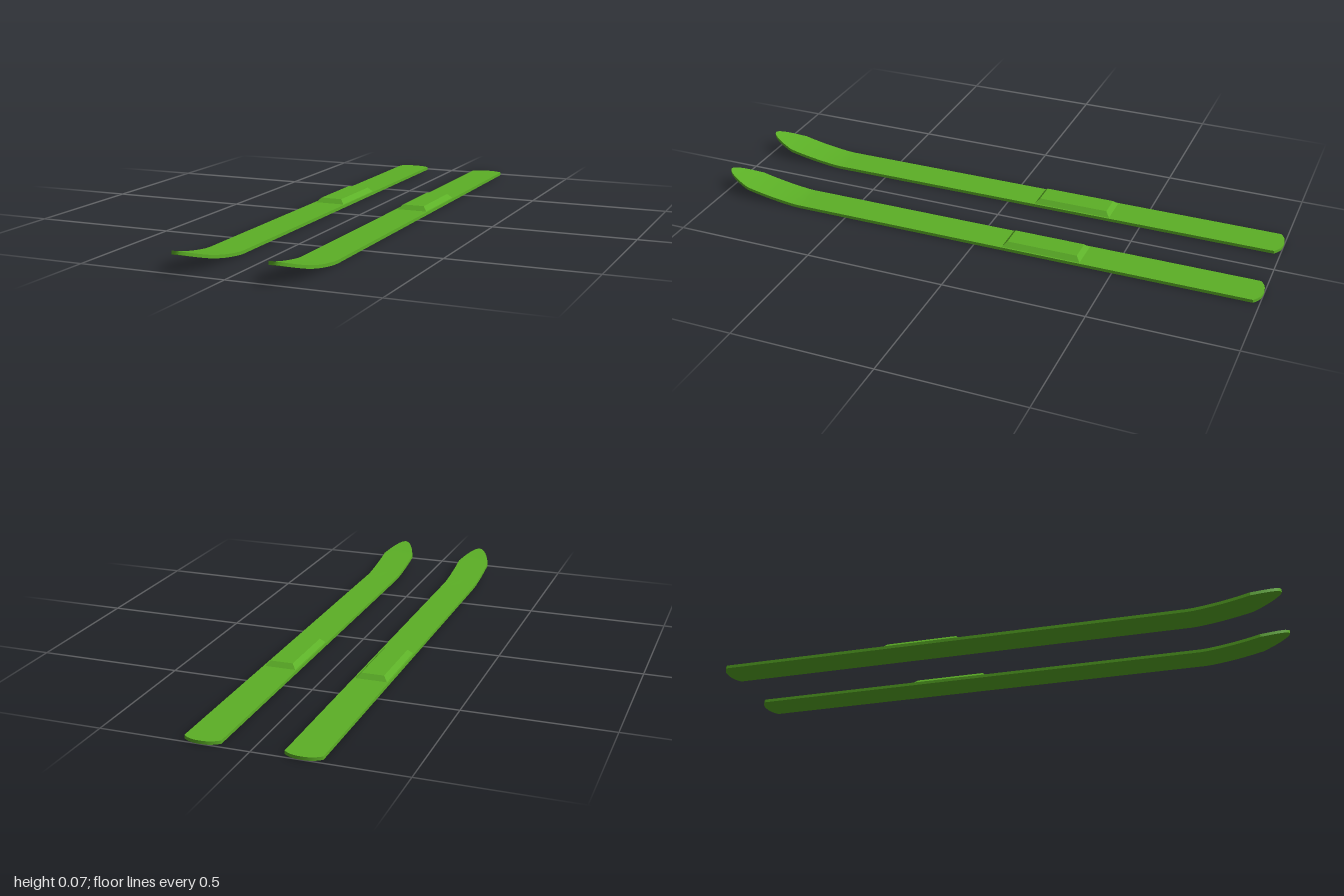
import * as THREE from 'three';

const HALF_WIDTH = 0.061;
const THICKNESS = 0.011;

// Height of the sole along the ski: flat, then curving up to the tip
function soleHeight(z) {
  const t = Math.max(0, (z - 0.7) / 0.3);
  return 0.061 * (0.6 * t + 0.4 * t * t) * Math.min(1, 0.75 + 0.25 * t);
}

// Long plank with an arched tail, a pointed tip and an upturned front
function skiGeometry() {
  const geo = new THREE.BoxGeometry(2, 1, 2, 16, 1, 80);
  const p = geo.attributes.position;
  for (let i = 0; i < p.count; i++) {
    const u = Math.sin(p.getX(i) * Math.PI / 2);
    const t = (p.getZ(i) + 1) / 2;
    const tail = -1 + 0.022 * Math.pow(Math.abs(u), 2.5);
    const tip = 1 - 0.1 * Math.pow(Math.abs(u), 1.9);
    const z = tail + (tip - tail) * t;
    p.setXYZ(i, u * HALF_WIDTH, soleHeight(z) + (p.getY(i) + 0.5) * THICKNESS, z);
  }
  geo.computeVertexNormals();
  return geo;
}

// Raised foot plate with sloping sides and ends
function plateGeometry() {
  const geo = new THREE.BoxGeometry(2, 1, 2);
  const p = geo.attributes.position;
  for (let i = 0; i < p.count; i++) {
    const top = p.getY(i) > 0;
    p.setXYZ(i,
      p.getX(i) * (top ? 0.04 : 0.057),
      top ? 0.027 : THICKNESS - 0.002,
      -0.243 + p.getZ(i) * (top ? 0.126 : 0.143));
  }
  geo.computeVertexNormals();
  return geo;
}

export function createModel() {
  const model = new THREE.Group();
  model.name = 'skis';
  const green = new THREE.MeshStandardMaterial({ color: 0x5cb026 });
  const ski = skiGeometry();
  const plate = plateGeometry();

  for (const [side, x] of [['left', 0.163], ['right', -0.163]]) {
    const group = new THREE.Group();
    group.name = side + 'Ski';
    group.position.x = x;
    const board = new THREE.Mesh(ski, green);
    board.name = side + 'Board';
    const foot = new THREE.Mesh(plate, green);
    foot.name = side + 'FootPlate';
    group.add(board, foot);
    model.add(group);
  }
  return model;
}
